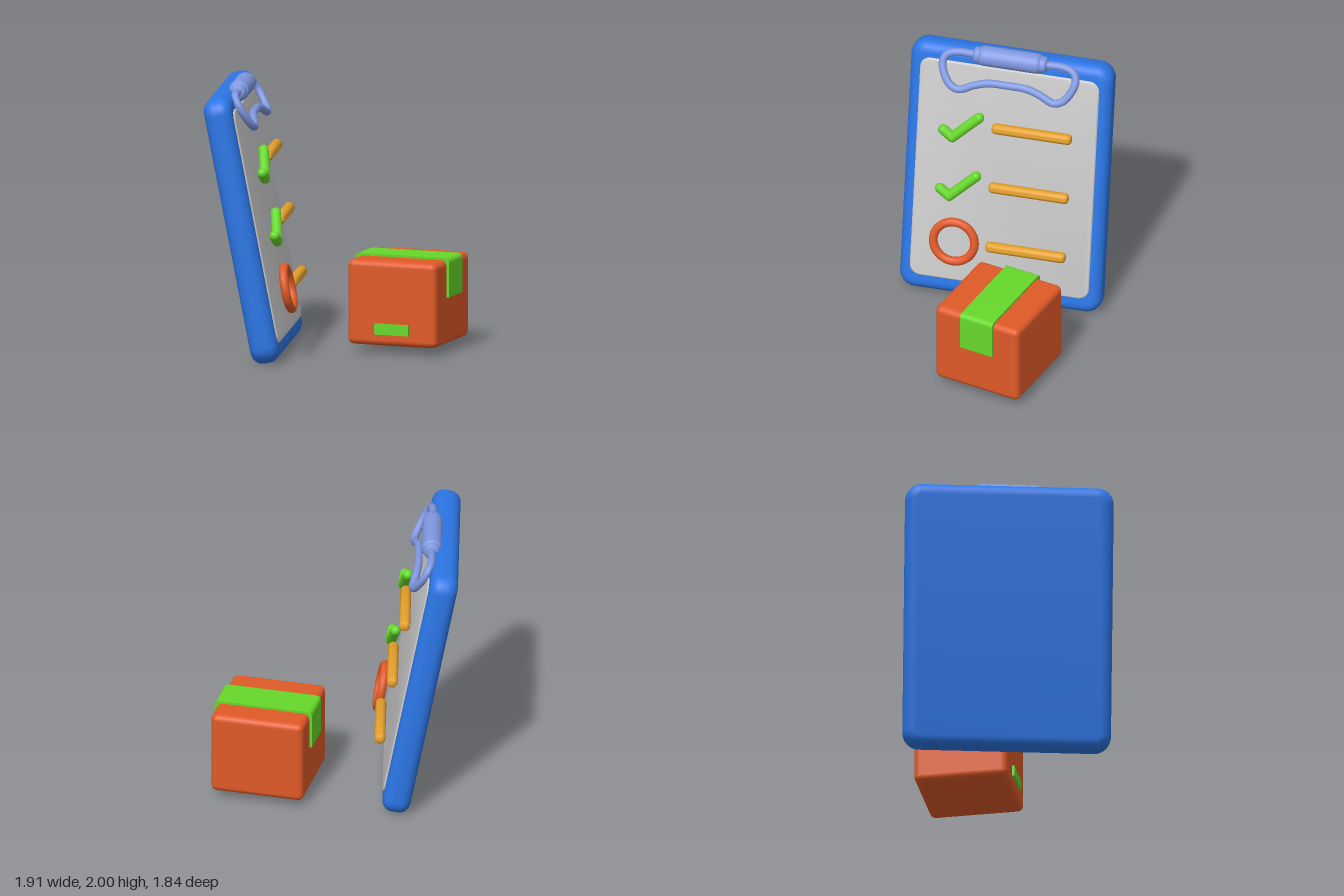
import * as THREE from 'three';
import { toCreasedNormals } from 'three/addons/utils/BufferGeometryUtils.js';
import { RoundedBoxGeometry } from 'three/addons/geometries/RoundedBoxGeometry.js';

const rad = THREE.MathUtils.degToRad;
const mat = (color) => new THREE.MeshStandardMaterial({ color });
const blue = mat(0x2c76e6), violet = mat(0x7f97e0), grey = mat(0xcccccc);
const green = mat(0x66d82a), amber = mat(0xe5a02c), orange = mat(0xe05a28);

function add(parent, name, geometry, material, x = 0, y = 0, z = 0) {
  const mesh = new THREE.Mesh(geometry, material);
  mesh.name = name;
  mesh.position.set(x, y, z);
  parent.add(mesh);
  return mesh;
}

// Rounded slab centred on the origin: corner radius in the plane, bevel on the rims
function slab(w, h, d, corner, bevel) {
  const a = w / 2 - bevel, b = h / 2 - bevel, r = corner - bevel;
  const s = new THREE.Shape();
  s.moveTo(-a + r, -b);
  s.lineTo(a - r, -b);
  s.absarc(a - r, -b + r, r, -Math.PI / 2, 0);
  s.absarc(a - r, b - r, r, 0, Math.PI / 2);
  s.absarc(-a + r, b - r, r, Math.PI / 2, Math.PI);
  s.absarc(-a + r, -b + r, r, Math.PI, Math.PI * 1.5);
  const g = new THREE.ExtrudeGeometry(s, {
    depth: d - 2 * bevel, bevelThickness: bevel, bevelSize: bevel, bevelSegments: 6, curveSegments: 8,
  });
  g.translate(0, 0, -d / 2 + bevel);
  return toCreasedNormals(g, 0.7);
}

// Round rod with softened ends, lying along x
function rod(profile) {
  const pts = profile.map(([r, y]) => new THREE.Vector2(r, y));
  const mirrored = pts.slice().reverse().map((p) => new THREE.Vector2(p.x, -p.y));
  return toCreasedNormals(new THREE.LatheGeometry([...pts, ...mirrored], 28).rotateZ(-Math.PI / 2), 0.9);
}

function makeClipboard() {
  const g = new THREE.Group();
  g.name = 'clipboard';
  add(g, 'board', slab(1.51, 1.965, 0.205, 0.12, 0.08), blue);
  add(g, 'paper', slab(1.34, 1.73, 0.04, 0.08, 0.015), grey, 0, 0.005, 0.094);

  // Clip: barrel on the top edge and a bent wire handle sloping forward
  add(g, 'clipBarrel', rod([[0, -0.275], [0.042, -0.275], [0.056, -0.266], [0.06, -0.25], [0.06, -0.228],
    [0.068, -0.222], [0.074, -0.208], [0.075, -0.19]]), violet, 0, 0.95, 0.105);
  const half = [[0.24, 0.95], [0.41, 0.948], [0.475, 0.92], [0.497, 0.865], [0.465, 0.77],
    [0.41, 0.71], [0.35, 0.695], [0.25, 0.735], [0.15, 0.763]];
  const at = ([x, y]) => new THREE.Vector3(x, y, 0.105 + (0.95 - y) * 0.35);
  const wire = [...half.map(at), at([0, 0.768]), ...half.slice().reverse().map(([x, y]) => at([-x, y]))];
  add(g, 'clipWire', new THREE.TubeGeometry(new THREE.CatmullRomCurve3(wire), 110, 0.029, 12), violet);

  // Text bars, floating just off the paper
  const front = 0.2;
  const bar = rod([[0, -0.297], [0.022, -0.296], [0.034, -0.288], [0.04, -0.272]]);
  [0.43, -0.04, -0.512].forEach((y, i) => add(g, `listBar${i + 1}`, bar, amber, 0.208, y, front));

  // Check marks: two round strokes that share a rounded elbow
  const tips = [[-0.45, 0.362], [-0.381, 0.312], [-0.19, 0.495]].map(([x, y]) => new THREE.Vector3(x, y, 0));
  [0, -0.467].forEach((dy, i) => {
    const check = new THREE.Group();
    check.name = `checkMark${i + 1}`;
    check.position.set(0, dy, front);
    [tips[0], tips[2]].forEach((tip, k) => {
      const dir = tip.clone().sub(tips[1]);
      const stroke = add(check, k ? 'longStroke' : 'shortStroke',
        new THREE.CapsuleGeometry(0.038, dir.length(), 6, 16), green);
      stroke.position.copy(tips[1]).addScaledVector(dir, 0.5);
      stroke.quaternion.setFromUnitVectors(new THREE.Vector3(0, 1, 0), dir.normalize());
    });
    g.add(check);
  });
  add(g, 'ring', new THREE.TorusGeometry(0.154, 0.032, 14, 44), orange, -0.327, -0.51, front + 0.005);

  // Leaning back and turned to the side
  g.rotation.set(rad(-11), rad(30), 0, 'YXZ');
  g.position.set(-0.1975, 0.97, -0.342);
  return g;
}

function makeParcel() {
  const g = new THREE.Group();
  g.name = 'parcel';
  add(g, 'box', new RoundedBoxGeometry(0.686, 0.62, 0.69, 5, 0.045), orange);

  // Tape: a bent strip over the top with a flap down the front and the back
  const z = 0.364, top = 0.332, low = 0.045, t = 0.035, r = 0.035;
  const s = new THREE.Shape();
  s.moveTo(-z, low - 0.0);
  s.lineTo(-z, top - r);
  s.absarc(-z + r, top - r, r, Math.PI, Math.PI / 2, true);
  s.absarc(z - r, top - r, r, Math.PI / 2, 0, true);
  s.lineTo(z, low);
  s.lineTo(z - t, low);
  s.lineTo(z - t, top - t);
  s.lineTo(-z + t, top - t);
  s.lineTo(-z + t, low);
  const tape = new THREE.ExtrudeGeometry(s, { depth: 0.265, bevelEnabled: false, curveSegments: 8 });
  tape.translate(0, 0, -0.1325).rotateY(-Math.PI / 2);
  add(g, 'tape', toCreasedNormals(tape, 0.6), green, 0.01, -0.005, 0);
  add(g, 'label', new THREE.BoxGeometry(0.03, 0.08, 0.265), green, -0.345, -0.185, 0.007);

  g.rotation.y = rad(16);
  g.position.set(0.544, 0.368, 0.506);
  return g;
}

export function createModel() {
  const model = new THREE.Group();
  model.name = 'clipboardAndParcel';
  model.add(makeClipboard(), makeParcel());
  return model;
}
